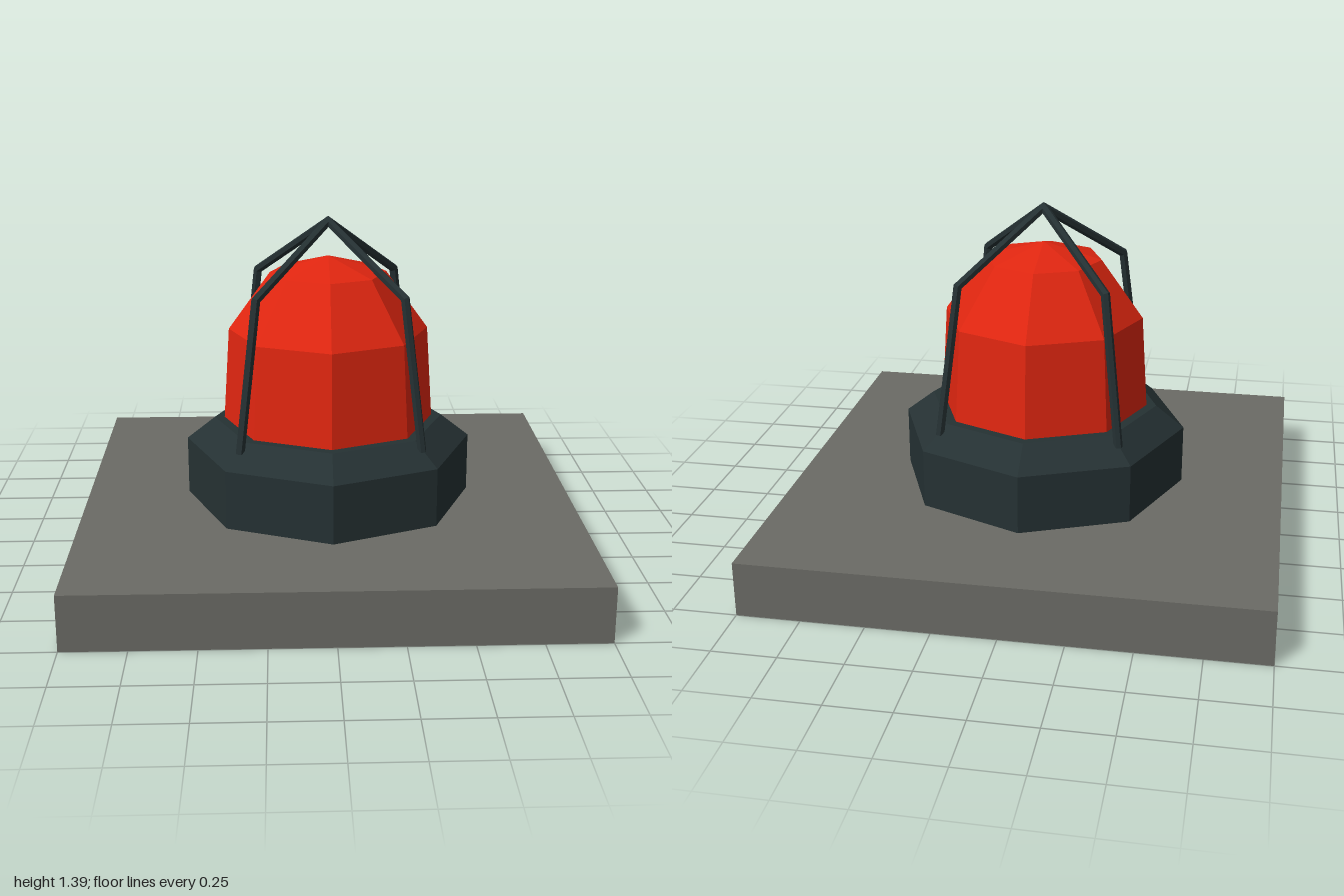
import * as THREE from 'three';

const flat = (color, name, side = THREE.FrontSide) => {
  const m = new THREE.MeshStandardMaterial({ color, flatShading: true, side });
  m.name = name;
  return m;
};

// Mitred hexagonal rod following a path in the local xy plane
function rodGeometry(path, radius, after, sides = 6) {
  const pts = path.map(([x, y]) => new THREE.Vector2(x, y));
  const all = [...pts, new THREE.Vector2(...after)];
  const normal = (a, b) => {
    const t = b.clone().sub(a).normalize();
    return new THREE.Vector2(t.y, -t.x);
  };
  const pos = [], idx = [];
  pts.forEach((p, i) => {
    const next = normal(p, all[i + 1]);
    const prev = i ? normal(all[i - 1], p) : next;
    const n = next.clone().add(prev).normalize();
    n.multiplyScalar(radius / n.dot(next));
    for (let j = 0; j < sides; j++) {
      const a = (j / sides) * Math.PI * 2;
      pos.push(p.x + n.x * Math.cos(a), p.y + n.y * Math.cos(a), radius * Math.sin(a));
    }
  });
  for (let i = 0; i < pts.length - 1; i++) {
    for (let j = 0; j < sides; j++) {
      const k = (j + 1) % sides, lo = i * sides, hi = lo + sides;
      idx.push(lo + j, hi + j, hi + k, lo + j, hi + k, lo + k);
    }
  }
  for (let j = 1; j < sides - 1; j++) idx.push(0, j, j + 1); // lower end cap
  const g = new THREE.BufferGeometry();
  g.setAttribute('position', new THREE.Float32BufferAttribute(pos, 3));
  g.setIndex(idx);
  g.computeVertexNormals();
  return g;
}

export function createModel() {
  const group = new THREE.Group();
  group.name = 'warningLight';
  const grey = flat(0x6b6b65, 'concreteGrey', THREE.DoubleSide);
  const dark = flat(0x253133, 'darkMetal');
  const red = flat(0xe02610, 'redGlass');

  const add = (geometry, material, name) => {
    const mesh = new THREE.Mesh(geometry, material);
    mesh.name = name;
    group.add(mesh);
    return mesh;
  };
  const lathe = (profile) =>
    new THREE.LatheGeometry(profile.map(([r, y]) => new THREE.Vector2(r, y)), 8);

  // Square slab, hollow underneath: the bottom face is left out
  const slab = new THREE.BoxGeometry(2, 0.22, 2).translate(0, 0.11, 0);
  const index = Array.from(slab.index.array);
  index.splice(18, 6);
  slab.setIndex(index);
  slab.clearGroups();
  add(slab, grey, 'slab');

  // Octagonal socket with a bevelled rim
  add(lathe([[0.585, 0.22], [0.585, 0.458], [0.47, 0.548], [0.4, 0.548]]), dark, 'socket');

  // Faceted lamp dome
  add(lathe([[0.43, 0.545], [0.405, 0.925], [0.235, 1.16], [0, 1.226]]), red, 'lampDome');

  // Protective cage: four bent rods meeting above the dome
  const d = Math.SQRT2;
  const path = [[0.357 * d, 0.51], [0.288 * d, 1.11], [0, 1.365]];
  const rod = rodGeometry(path, 0.018, [-0.288 * d, 1.11]);
  for (let i = 0; i < 4; i++) {
    add(rod, dark, 'cageRod' + (i + 1)).rotation.y = Math.PI / 4 + (i * Math.PI) / 2;
  }
  return group;
}
